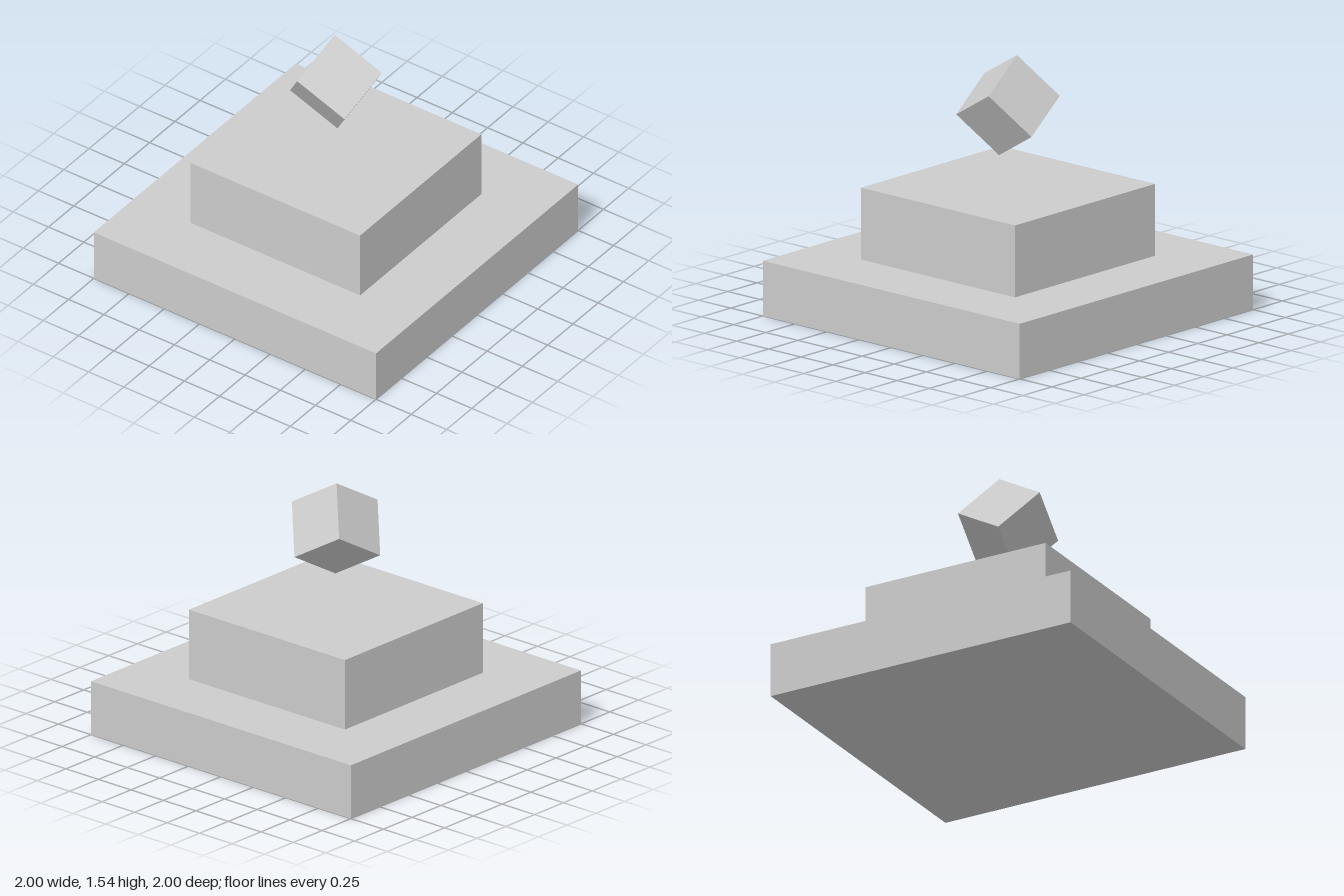
import * as THREE from 'three';

export function createModel() {
  const group = new THREE.Group();
  const material = new THREE.MeshStandardMaterial({ color: 0xcccccc, flatShading: true });

  const addBox = (name, width, height, depth, centreY) => {
    const mesh = new THREE.Mesh(new THREE.BoxGeometry(width, height, depth), material);
    mesh.name = name;
    mesh.position.y = centreY;
    group.add(mesh);
    return mesh;
  };

  // Stepped pedestal
  addBox('baseSlab', 2, 0.33, 2, 0.165);
  addBox('upperBlock', 1.2, 0.43, 1.2, 0.545);

  // Floating cube, tipped an eighth turn about a horizontal diagonal
  const cube = addBox('floatingCube', 0.35, 0.35, 0.35, 1.243);
  cube.quaternion.setFromAxisAngle(new THREE.Vector3(1, 0, 1).normalize(), Math.PI / 4);

  return group;
}
